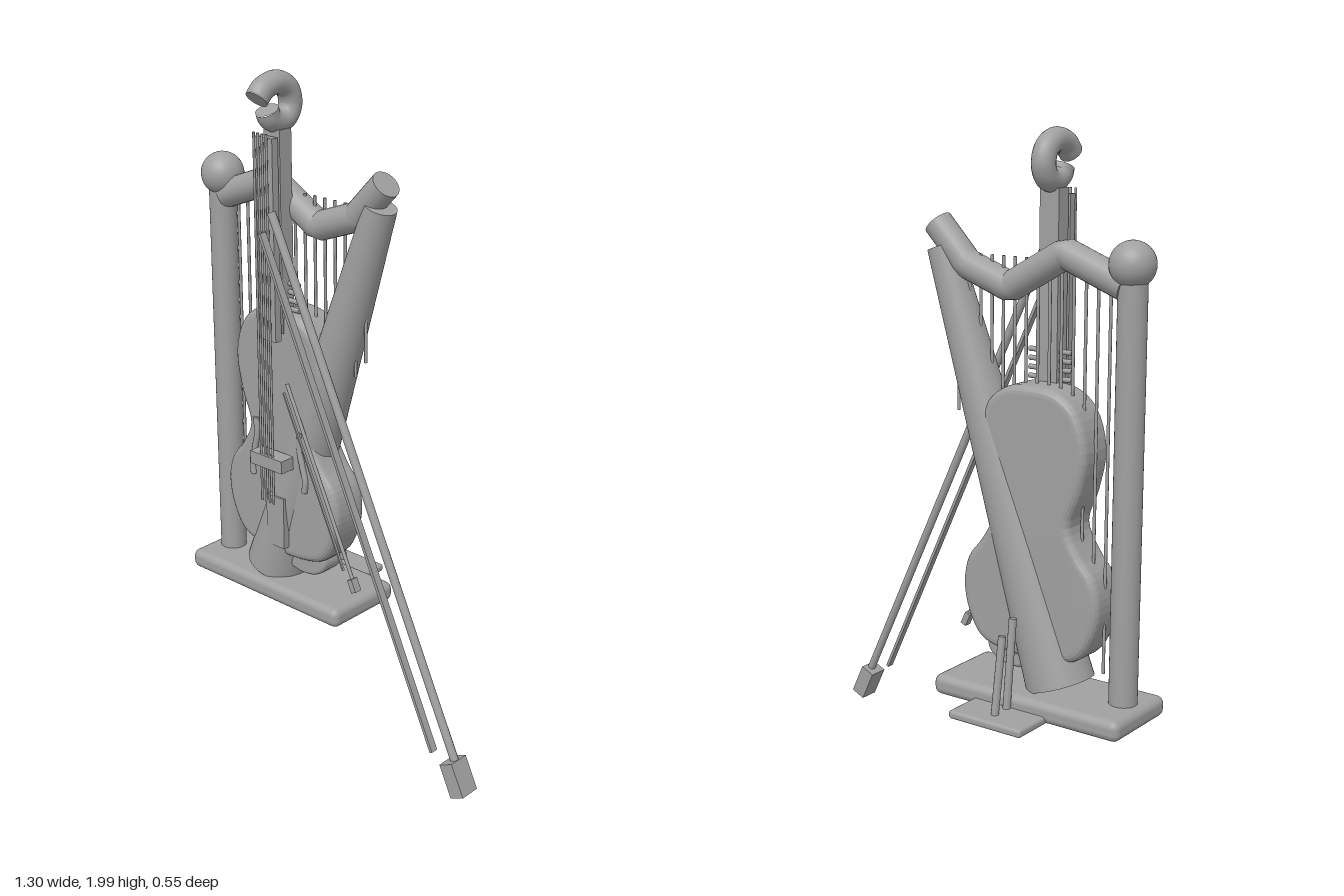
import * as THREE from 'three';
import { RoundedBoxGeometry } from 'three/addons/geometries/RoundedBoxGeometry.js';

const grey = new THREE.MeshStandardMaterial({ color: 0xa0a0a0 });
grey.name = 'plain grey';
const V = (x, y, z = 0) => new THREE.Vector3(x, y, z);
const CX = -0.277; // centre line of the violin

export function createModel() {
  const model = new THREE.Group();
  const harp = group('harp', model);
  const stand = group('stand', model);
  const violin = group('violin', model);

  function group(name, parent) {
    const g = new THREE.Group();
    g.name = name;
    parent.add(g);
    return g;
  }
  function add(parent, name, geometry, x = 0, y = 0, z = 0) {
    const m = new THREE.Mesh(geometry, grey);
    m.name = name;
    m.position.set(x, y, z);
    parent.add(m);
    return m;
  }
  // Box given by its limits
  function box(parent, name, x0, x1, y0, y1, z0, z1, round = 0) {
    const s = [x1 - x0, y1 - y0, z1 - z0];
    const g = round ? new RoundedBoxGeometry(...s, 3, round) : new THREE.BoxGeometry(...s);
    return add(parent, name, g, (x0 + x1) / 2, (y0 + y1) / 2, (z0 + z1) / 2);
  }
  // Cylinder (or slim box) running between two points
  function rod(parent, name, a, b, ra, rb = ra, sides = 12) {
    const d = b.clone().sub(a);
    const m = add(parent, name, new THREE.CylinderGeometry(rb, ra, d.length(), sides));
    m.position.copy(a).add(b).multiplyScalar(0.5);
    m.quaternion.setFromUnitVectors(V(0, 1, 0), d.normalize());
    return m;
  }
  function bar(parent, name, a, b, w, depth) {
    const m = add(parent, name, new THREE.BoxGeometry(w, a.distanceTo(b), depth));
    m.position.copy(a).add(b).multiplyScalar(0.5);
    m.rotation.z = Math.atan2(a.x - b.x, b.y - a.y);
    return m;
  }
  // Tube with flat caps; straight = kinked path
  function tube(parent, name, pts, r, straight = false) {
    const curve = new THREE.CatmullRomCurve3(pts, false, 'catmullrom', straight ? 0 : 0.5);
    add(parent, name, new THREE.TubeGeometry(curve, 60, r, 20), 0, 0, 0);
    for (const t of [0, 1]) {
      const cap = add(parent, name + 'Cap', new THREE.CircleGeometry(r, 20));
      cap.position.copy(curve.getPointAt(t));
      const out = curve.getPointAt(t).sub(curve.getPointAt(t ? 0.98 : 0.02)).normalize();
      cap.quaternion.setFromUnitVectors(V(0, 0, 1), out);
    }
  }
  // Shape extruded between z0 and z1 with rounded rims
  function slab(parent, name, shape, z0, z1, bevel) {
    const g = new THREE.ExtrudeGeometry(shape, {
      depth: z1 - z0 - 2 * bevel, bevelThickness: bevel, bevelSize: bevel,
      bevelOffset: -bevel, bevelSegments: 4, curveSegments: 24,
    });
    return add(parent, name, g, 0, 0, z0 + bevel);
  }

  // Base and rear rest
  box(stand, 'base', -0.652, 0.012, 0.28, 0.345, -0.152, 0.13, 0.025);
  box(stand, 'rearPlate', -0.405, -0.145, 0.28, 0.306, -0.28, -0.09, 0.01);
  rod(stand, 'restPeg', V(-0.275, 0.3, -0.162), V(-0.275, 0.58, -0.132), 0.012);
  rod(stand, 'restPeg', V(-0.275, 0.3, -0.222), V(-0.275, 0.54, -0.186), 0.012);

  // Harp frame
  rod(harp, 'column', V(-0.58, 0.33), V(-0.58, 1.62), 0.043, 0.043, 32);
  add(harp, 'columnBall', new THREE.SphereGeometry(0.068, 32, 20), -0.578, 1.635, 0);
  tube(harp, 'harpNeck', [V(-0.56, 1.573), V(-0.358, 1.651), V(-0.165, 1.54),
    V(-0.01, 1.597), V(0.1, 1.712)], 0.045, true);
  rod(harp, 'soundbox', V(-0.36, 0.357), V(0.08, 1.643), 0.106, 0.05, 40);

  // Harp strings
  for (let i = 0; i < 14; i++) {
    const x = -0.51 + i * 0.041;
    rod(harp, 'harpString', V(x, 0.42 + 1.37 * (x + 0.51)), V(x, 1.63), 0.005, 0.005, 8);
  }

  // Violin body: half outline, mirrored about the centre line
  const half = [[0.09, 1.255], [0.155, 1.205], [0.192, 1.09], [0.17, 0.96], [0.137, 0.86],
    [0.175, 0.78], [0.225, 0.715], [0.243, 0.635], [0.225, 0.54], [0.175, 0.462], [0.09, 0.436]];
  const ring = [[0, 1.266], ...half, [0, 0.431], ...half.slice().reverse().map(([x, y]) => [-x, y])];
  const loop = new THREE.CatmullRomCurve3(ring.map(([x, y]) => V(CX + x, y)), true);
  const outline = new THREE.Shape(loop.getPoints(96).slice(0, -1).map(p => new THREE.Vector2(p.x, p.y)));
  slab(violin, 'body', outline, -0.063, 0.077, 0.025);

  // Chin rest
  const rest = new THREE.Shape();
  rest.absellipse(-0.205, 0.44, 0.098, 0.06, 0, Math.PI * 2);
  slab(violin, 'chinRest', rest, -0.03, 0.053, 0.012);

  // Neck, fingerboard, bridge and tailpiece
  box(violin, 'neck', CX - 0.033, CX + 0.033, 1.2, 1.83, 0.032, 0.082);
  box(violin, 'fingerboard', CX - 0.034, CX + 0.034, 1.18, 1.81, 0.09, 0.115);
  box(violin, 'bridge', -0.343, -0.205, 0.76, 0.802, 0.085, 0.14);
  box(violin, 'tailpiece', -0.315, -0.239, 0.472, 0.648, 0.07, 0.1);

  // Strings and pegs
  for (let i = 0; i < 4; i++) {
    const x = CX + (i - 1.5) * 0.017;
    rod(violin, 'violinString', V(x, 0.64, 0.13), V(x, 1.825, 0.13), 0.004, 0.004, 8);
    const y = 1.275 + i * 0.027;
    rod(violin, 'peg', V(CX - 0.075, y, 0.05), V(CX + 0.075, y, 0.05), 0.008);
  }

  // Curved sound holes
  for (const s of [-1, 1]) {
    tube(violin, 'soundHole', [[0.097, 0.89], [0.093, 0.84], [0.105, 0.78], [0.117, 0.73], [0.113, 0.69]]
      .map(([x, y]) => V(CX + s * x, y, 0.08)), 0.01);
  }

  // Scroll, curling in the side plane
  tube(violin, 'scroll', [[0.14, 1.925], [0.11, 1.953], [0.06, 1.964], [0.016, 1.943], [0, 1.9],
    [0.016, 1.862], [0.05, 1.85], [0.085, 1.862], [0.098, 1.888]].map(([z, y]) => V(CX, y, z)), 0.036);

  // Large bow leaning in front
  const bow = group('largeBow', model);
  rod(bow, 'bowStick', V(-0.125, 1.637, 0.24), V(0.59, 0.11, 0.24), 0.013);
  bar(bow, 'bowHair', V(0.525, 0.13, 0.262), V(-0.143, 1.577, 0.262), 0.01, 0.024);
  bar(bow, 'bowFrog', V(0.625, 0.017, 0.24), V(0.58, 0.113, 0.24), 0.05, 0.066);

  // Small bow lying against the violin
  const small = group('smallBow', model);
  rod(small, 'smallBowStick', V(-0.218, 1.047, 0.095), V(0.058, 0.455, 0.095), 0.006);
  bar(small, 'smallBowHair', V(0.025, 0.49, 0.106), V(-0.222, 1.02, 0.106), 0.005, 0.008);
  bar(small, 'smallBowFrog', V(0.07, 0.428, 0.096), V(0.052, 0.467, 0.096), 0.02, 0.026);

  return model;
}
